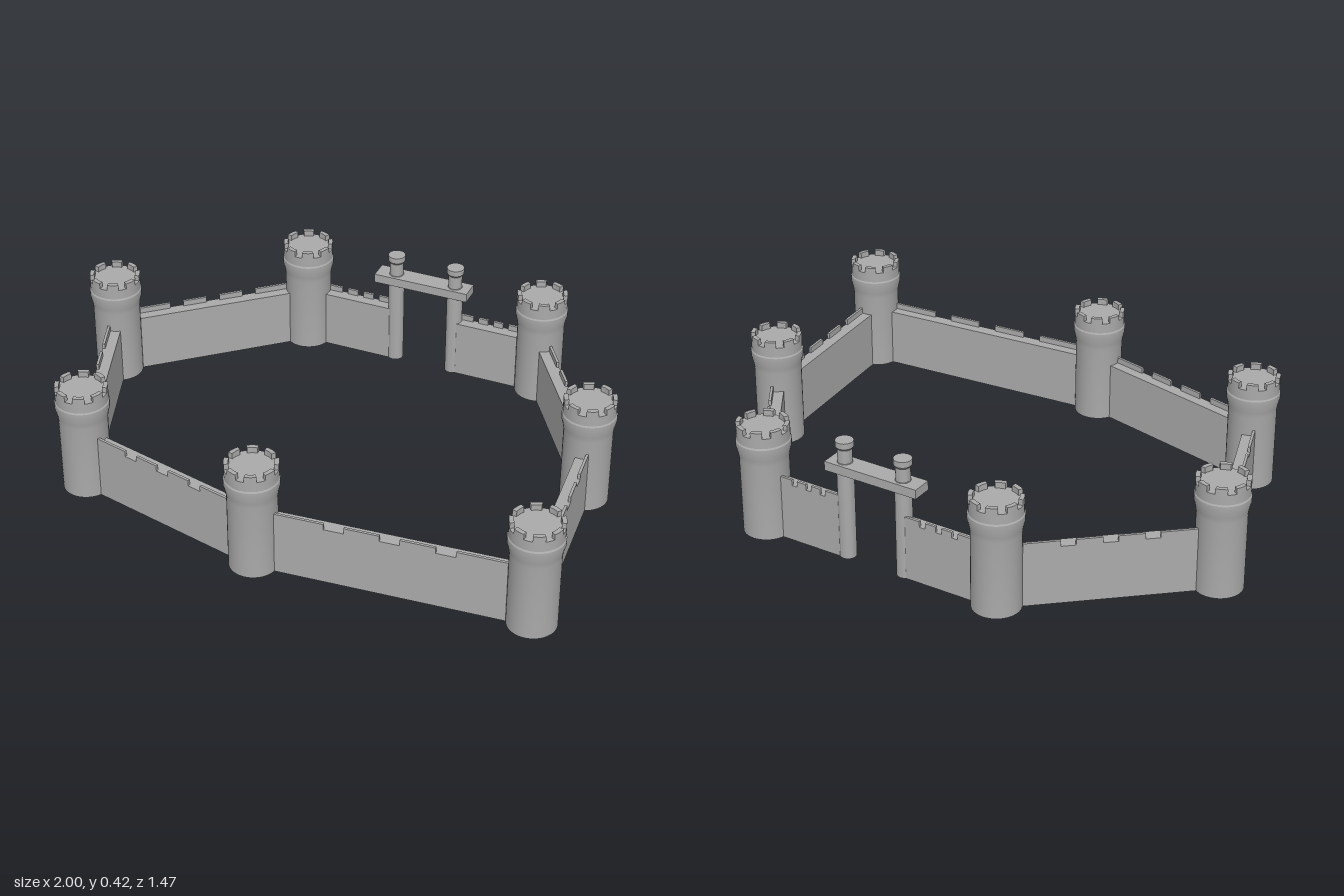
import * as THREE from 'three';
import { toCreasedNormals } from 'three/addons/utils/BufferGeometryUtils.js';

const stone = new THREE.MeshStandardMaterial({ color: 0xaaaaaa });
stone.name = 'grey stone';

function add(parent, name, geometry, x = 0, y = 0, z = 0) {
  const mesh = new THREE.Mesh(geometry, stone);
  mesh.name = name;
  mesh.position.set(x, y, z);
  parent.add(mesh);
  return mesh;
}

// Turned solid from [radius, height] pairs, with sharp rims
function turned(points, sides) {
  const profile = points.map(([r, y]) => new THREE.Vector2(r, y));
  return toCreasedNormals(new THREE.LatheGeometry(profile, sides), 0.5);
}

const towerGeometry = turned([
  [0, 0], [0.081, 0], [0.081, 0.27], [0.084, 0.29], [0.09, 0.315],
  [0.09, 0.335], [0.087, 0.34], [0.087, 0.375], [0, 0.375],
], 40);

const pillarGeometry = turned([
  [0, 0], [0.028, 0], [0.028, 0.34], [0.024, 0.345], [0.024, 0.392],
  [0.03, 0.4], [0.03, 0.42], [0, 0.42],
], 24);

// Curved block standing on the tower rim
function rimBlock() {
  const half = 0.23;
  const shape = new THREE.Shape();
  shape.absarc(0, 0, 0.087, -half, half, false);
  shape.absarc(0, 0, 0.072, half, -half, true);
  const geometry = new THREE.ExtrudeGeometry(shape, { depth: 0.021, bevelEnabled: false, curveSegments: 5 });
  return geometry.rotateX(-Math.PI / 2);
}
const rimBlockGeometry = rimBlock();

function makeTower(x, z) {
  const tower = new THREE.Group();
  tower.name = 'tower';
  tower.position.set(x, 0, z);
  add(tower, 'towerBody', towerGeometry);
  for (let i = 0; i < 8; i++) {
    add(tower, 'towerMerlon', rimBlockGeometry, 0, 0.374, 0).rotation.y = (i + 0.5) * Math.PI / 4;
  }
  return tower;
}

// Wall running from a to b; its outer edge carries a parapet with three notches
function makeWall(a, b, trimA, trimB) {
  const dx = b[0] - a[0], dz = b[1] - a[1];
  const full = Math.hypot(dx, dz);
  const length = full - trimA - trimB;
  const width = 0.044, walk = 0.205, top = 0.225, thick = 0.009;

  const wall = new THREE.Group();
  wall.name = 'wall';
  wall.position.set(a[0], 0, a[1]);
  wall.rotation.y = Math.atan2(-dz, dx);
  add(wall, 'wallBody', new THREE.BoxGeometry(length, walk, width), trimA + length / 2, walk / 2, 0);

  const notch = 0.085 * length;
  let start = 0;
  for (const centre of [0.265, 0.5, 0.735, null]) {
    const end = centre === null ? length : centre * length - notch / 2;
    const size = end - start;
    add(wall, 'wallMerlon', new THREE.BoxGeometry(size, top - walk, thick),
      trimA + start + size / 2, (top + walk) / 2, -(width - thick) / 2);
    start = end + notch;
  }
  return wall;
}

export function createModel() {
  const castle = new THREE.Group();
  castle.name = 'castleWalls';

  // Towers around the ring, starting right of the gate
  const towers = [
    [0.5, -0.65], [0.85, -0.11], [0.908, 0.57], [0, 0.64],
    [-0.685, 0.475], [-0.91, -0.185], [-0.38, -0.65],
  ];
  towers.forEach(([x, z]) => castle.add(makeTower(x, z)));
  for (let i = 0; i < towers.length - 1; i++) {
    castle.add(makeWall(towers[i], towers[i + 1], 0.07, 0.07));
  }

  // Gate: two pillars, a beam across them and short walls to the towers
  const gate = new THREE.Group();
  gate.name = 'gate';
  const pillars = [[-0.04, -0.65], [0.18, -0.65]];
  pillars.forEach(([x, z]) => add(gate, 'gatePillar', pillarGeometry, x, 0, z));
  add(gate, 'gateBeam', new THREE.BoxGeometry(0.345, 0.032, 0.07), 0.063, 0.327, -0.65);
  gate.add(makeWall(towers[6], pillars[0], 0.07, 0.015));
  gate.add(makeWall(pillars[1], towers[0], 0.015, 0.07));
  castle.add(gate);

  return castle;
}
